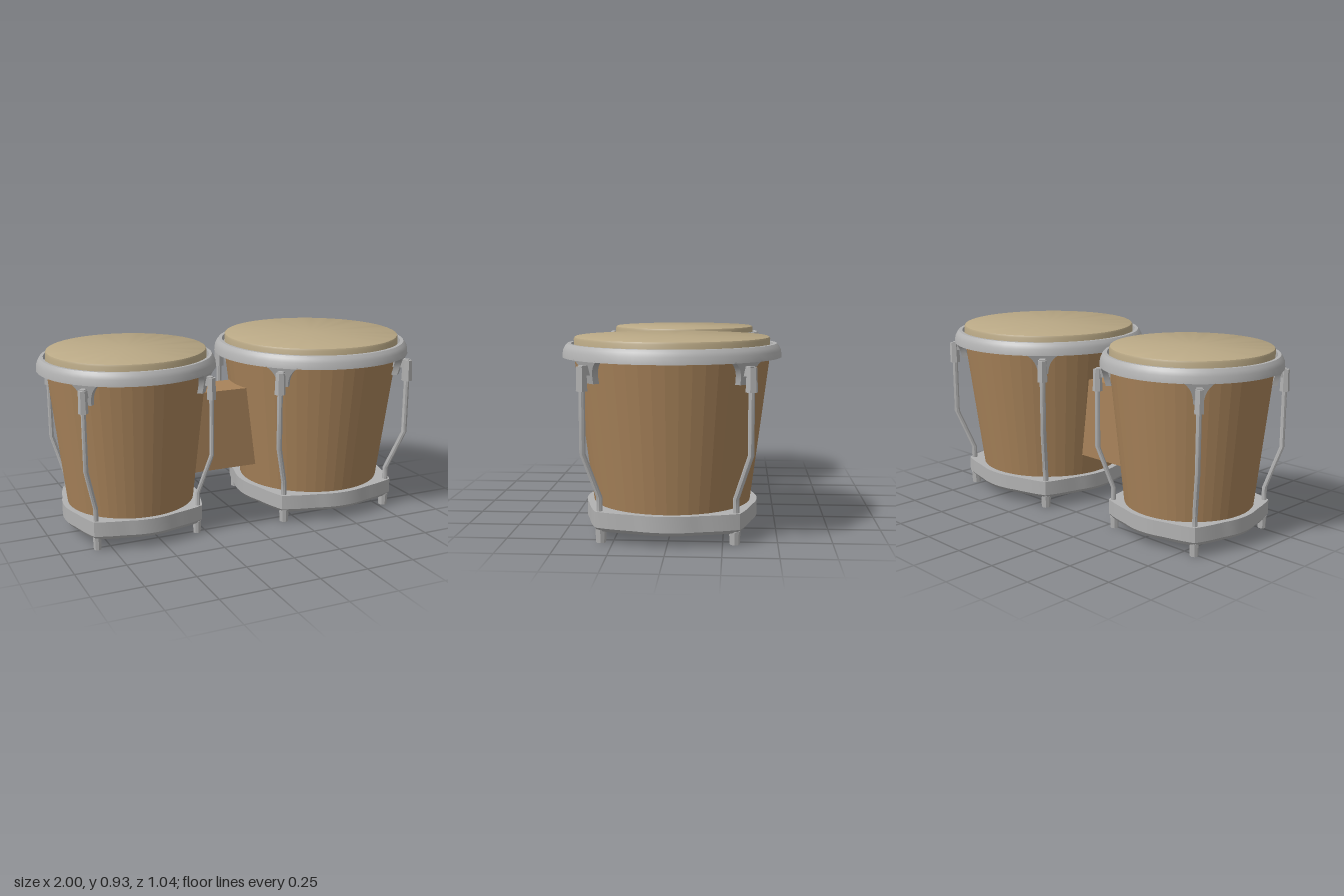
import * as THREE from 'three';
import { toCreasedNormals } from 'three/addons/utils/BufferGeometryUtils.js';

const material = (name, color) => {
  const m = new THREE.MeshStandardMaterial({ color });
  m.name = name;
  return m;
};

export function createModel() {
  const wood = material('wood', 0xa8835a);
  const metal = material('metal', 0xb2b2b2);
  const skin = material('skin', 0xb9a885);

  const part = (name, geometry, mat, crease = 0.5) => {
    const mesh = new THREE.Mesh(toCreasedNormals(geometry, crease), mat);
    mesh.name = name;
    return mesh;
  };
  // Profiles are [radius, y], listed upwards on the outside
  const lathe = (points, segments = 48) =>
    new THREE.LatheGeometry(points.map(([r, y]) => new THREE.Vector2(r, y)), segments);
  const reshape = (geometry, rule) => {
    const p = geometry.attributes.position;
    const v = new THREE.Vector3();
    for (let i = 0; i < p.count; i++) {
      rule(v.fromBufferAttribute(p, i));
      p.setXYZ(i, v.x, v.y, v.z);
    }
    return geometry;
  };

  // Bottom hoop: round inside, flared to a point at the four diagonals outside
  function hoopGeometry() {
    const g = lathe([[0.336, 0.055], [0.392, 0.055], [0.408, 0.073], [0.408, 0.147],
      [0.336, 0.147], [0.336, 0.055]], 96);
    return reshape(g, (v) => {
      const r = Math.hypot(v.x, v.z);
      if (r < 0.35) return;
      const quarter = Math.PI / 2;
      const a = Math.atan2(v.x, v.z) + 2 * Math.PI;
      const d = Math.abs((a % quarter) - quarter / 2);
      const k = 1 + (0.056 * Math.pow(Math.max(0, 1 - d / 0.45), 1.5)) / r;
      v.x *= k;
      v.z *= k;
    });
  }

  // Tuning rod with two bends
  function rodGeometry() {
    const rows = [[0.74, 0.528], [0.42, 0.528], [0.21, 0.438], [0.14, 0.438]];
    return reshape(new THREE.CylinderGeometry(0.0145, 0.0145, 3, 8, 3), (v) => {
      const [y, z] = rows[Math.round(1.5 - v.y)];
      v.y = y;
      v.z += z;
    });
  }

  // Bracket under the rim, narrowing downwards and leaning outwards
  function bracketGeometry() {
    const s = new THREE.Shape();
    s.moveTo(-0.025, 0.73);
    s.lineTo(0.025, 0.73);
    s.quadraticCurveTo(0.03, 0.805, 0.085, 0.835);
    s.lineTo(-0.085, 0.835);
    s.quadraticCurveTo(-0.03, 0.805, -0.025, 0.73);
    const g = new THREE.ExtrudeGeometry(s, { depth: 0.032, bevelEnabled: false, curveSegments: 6 });
    return reshape(g, (v) => { v.z += 0.45 + (v.y - 0.73) * 0.28; });
  }

  // Rod, nut, bracket and foot, built at +z
  function tuner() {
    const g = new THREE.Group();
    g.name = 'tuner';
    g.add(part('rod', rodGeometry(), metal));
    g.add(part('bracket', bracketGeometry(), metal));
    g.add(part('nut', new THREE.CylinderGeometry(0.024, 0.028, 0.108, 6).translate(0, 0.755, 0.528), metal));
    g.add(part('link', new THREE.BoxGeometry(0.032, 0.045, 0.08).translate(0, 0.792, 0.495), metal));
    g.add(part('foot', new THREE.CylinderGeometry(0.026, 0.023, 0.062, 8).translate(0, 0.031, 0.431), metal));
    return g;
  }

  function drum(name, x, scale) {
    const g = new THREE.Group();
    g.name = name;
    // Hollow shell, open at the bottom
    g.add(part('shell', lathe([[0.34, 0.13], [0.373, 0.13], [0.465, 0.85],
      [0.435, 0.85], [0.34, 0.13]]), wood, 0.05));
    g.add(part('rim', lathe([[0.46, 0.83], [0.518, 0.83], [0.514, 0.862], [0.505, 0.88],
      [0.494, 0.893], [0.476, 0.893], [0.472, 0.868], [0.46, 0.868], [0.46, 0.83]]), metal));
    g.add(part('head', lathe([[0, 0.845], [0.463, 0.845], [0.463, 0.913], [0.459, 0.922],
      [0.453, 0.925], [0, 0.925]]), skin));
    g.add(part('bottomHoop', hoopGeometry(), metal));
    for (let i = 0; i < 4; i++) {
      const t = tuner();
      t.rotation.y = Math.PI / 4 + (i * Math.PI) / 2;
      g.add(t);
    }
    g.position.x = x;
    g.scale.set(scale, 1, scale);
    return g;
  }

  const model = new THREE.Group();
  model.name = 'bongoDrums';
  model.add(drum('largeDrum', 0.481, 1), drum('smallDrum', -0.557, 0.856));

  // Block joining the shells, its ends following their slope
  const side = new THREE.Shape([[-0.243, 0.26], [0.11, 0.26], [0.055, 0.68], [-0.196, 0.68]]
    .map(([x, y]) => new THREE.Vector2(x, y)));
  const block = new THREE.ExtrudeGeometry(side, { depth: 0.21, bevelEnabled: false });
  model.add(part('joiningBlock', block.translate(0, 0, -0.105), wood));
  return model;
}
